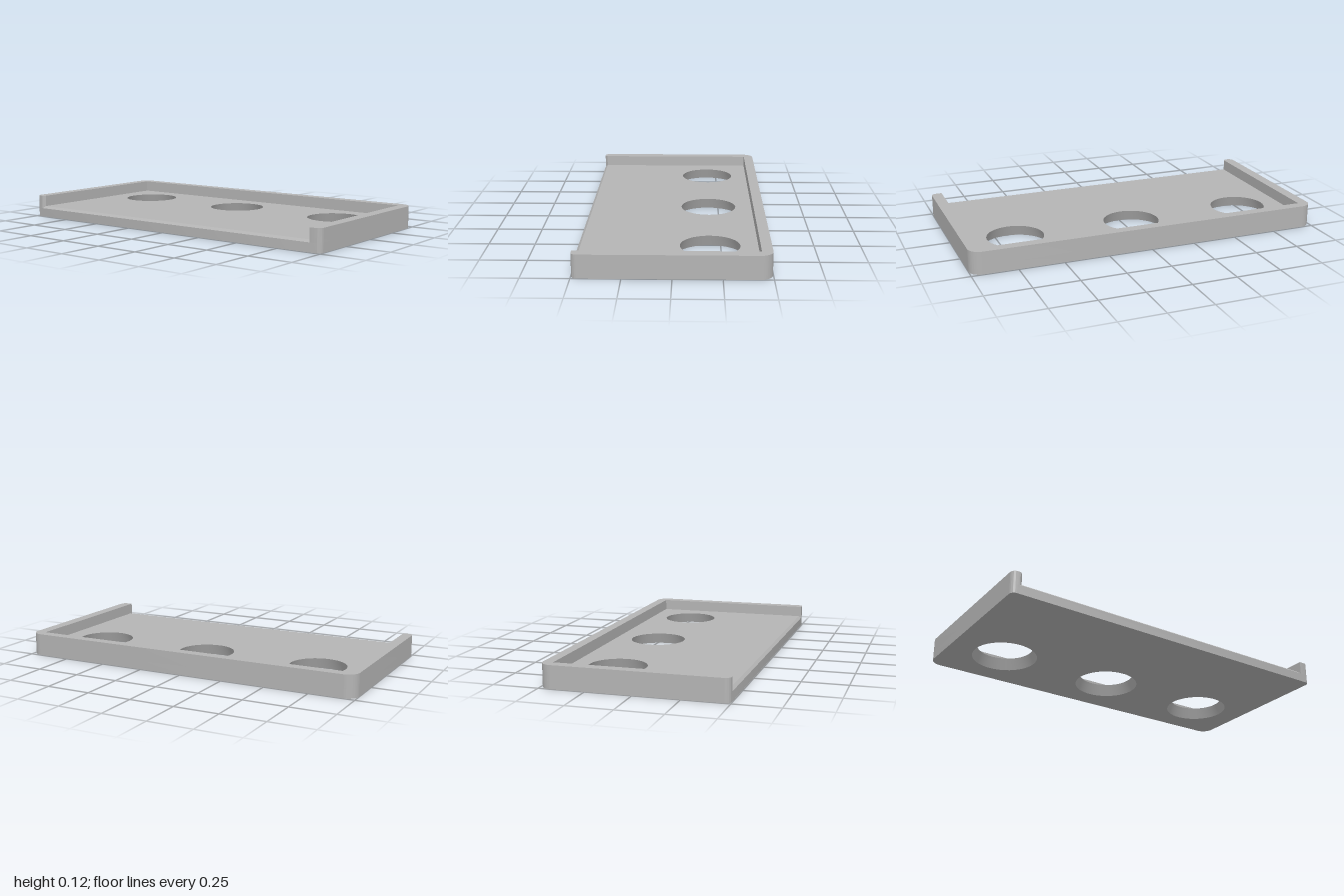
import * as THREE from 'three';
import { toCreasedNormals } from 'three/addons/utils/BufferGeometryUtils.js';

const D = 0.497;            // half depth
const H = 0.125;            // full height
const FLOOR = 0.0625;       // floor top
const STEP = 0.05;          // start of the front chamfer
const C = 0.0145;           // chamfer size
const BACK_R = 0.065, FRONT_R = 0.03;
const HOLES = [-0.68, 0, 0.68], HOLE_Z = -0.19, HOLE_TOP = 0.157, HOLE_BOTTOM = 0.182;

// Shapes are drawn in plan: shape x = x, shape y = -z
function outerEdge(shape) {
  shape.absarc(1 - FRONT_R, -D + FRONT_R, FRONT_R, -Math.PI / 2, 0);
  shape.absarc(1 - BACK_R, D - BACK_R, BACK_R, 0, Math.PI / 2);
  shape.absarc(-1 + BACK_R, D - BACK_R, BACK_R, Math.PI / 2, Math.PI);
  shape.absarc(-1 + FRONT_R, -D + FRONT_R, FRONT_R, Math.PI, Math.PI * 1.5);
  return shape;
}

function addHoles(shape) {
  for (const x of HOLES) {
    shape.holes.push(new THREE.Path().absarc(x, -HOLE_Z, HOLE_TOP, 0, Math.PI * 2, true));
  }
  return shape;
}

// Extrude a plan shape from y0 to y1, then apply an optional rule to each vertex
function slab(shape, y0, y1, rule) {
  const g = new THREE.ExtrudeGeometry(shape, { depth: y1 - y0, bevelEnabled: false, curveSegments: 24 });
  g.rotateX(-Math.PI / 2).translate(0, y0, 0);
  if (rule) {
    const p = g.attributes.position, v = new THREE.Vector3();
    for (let i = 0; i < p.count; i++) {
      rule(v.fromBufferAttribute(p, i));
      p.setXYZ(i, v.x, v.y, v.z);
    }
  }
  return toCreasedNormals(g, Math.PI / 6);
}

// Widen the holes evenly towards the underside
function flareHoles(v) {
  for (const x of HOLES) {
    const dx = v.x - x, dz = v.z - HOLE_Z;
    if (Math.hypot(dx, dz) < 0.2) {
      const k = THREE.MathUtils.lerp(HOLE_BOTTOM, HOLE_TOP, v.y / FLOOR) / HOLE_TOP;
      v.x = x + dx * k;
      v.z = HOLE_Z + dz * k;
      return;
    }
  }
}

export function createModel() {
  const model = new THREE.Group();
  model.name = 'tray';
  const grey = new THREE.MeshStandardMaterial({ color: 0xb4b4b4 });
  grey.name = 'grey';
  const add = (name, geometry) => {
    const mesh = new THREE.Mesh(geometry, grey);
    mesh.name = name;
    model.add(mesh);
  };

  // Lower plate with rounded corners
  add('basePlate', slab(addHoles(outerEdge(new THREE.Shape())), 0, STEP, flareHoles));

  // Thin floor with a chamfered front edge
  const floor = new THREE.Shape([[-0.96, -D], [0.95, -D], [0.95, 0.45], [-0.96, 0.45]]
    .map(([x, y]) => new THREE.Vector2(x, y)));
  add('floor', slab(addHoles(floor), STEP, FLOOR, (v) => {
    flareHoles(v);
    if (v.z > 0.49 && v.y > 0.055) v.z -= C;
  }));

  // Raised rim on three sides, open at the front
  const rim = outerEdge(new THREE.Shape());
  rim.lineTo(-0.94 - C, -D);
  rim.lineTo(-0.94, -D + C);
  rim.lineTo(-0.94, 0.44);
  rim.lineTo(0.938, 0.44);
  rim.lineTo(0.938, -D);
  rim.closePath();
  add('rim', slab(rim, STEP, H));

  return model;
}
